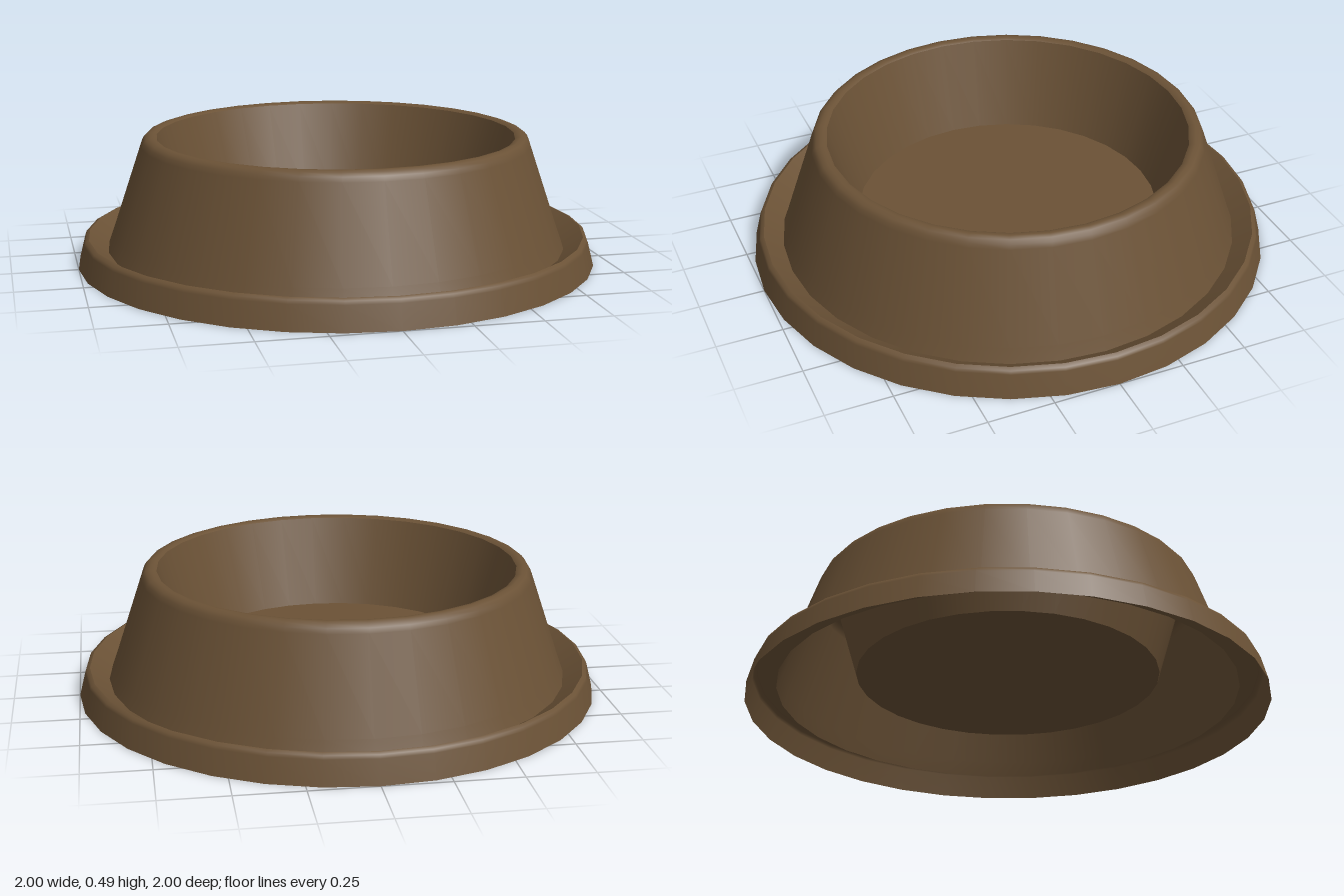
import * as THREE from 'three';

const SIDES = 32;

export function createModel() {
  const bowl = new THREE.Group();
  bowl.name = 'bowl';
  const material = new THREE.MeshStandardMaterial({ color: 0x6b5236, side: THREE.DoubleSide });

  // Each section is smooth in itself; the joins between sections stay sharp.
  const addSection = (name, profile) => {
    const points = profile.map(([r, y]) => new THREE.Vector2(r, y));
    const mesh = new THREE.Mesh(new THREE.LatheGeometry(points, SIDES), material);
    mesh.name = name;
    bowl.add(mesh);
  };

  // Foot: flared skirt with a softened upper edge
  addSection('footSkirt', [[1, 0], [0.977, 0.09], [0.972, 0.103], [0.958, 0.11]]);
  // Ledge sloping down into the groove around the wall
  addSection('footLedge', [[0.958, 0.11], [0.885, 0.06]]);
  // Tapered outer wall rolling over into the rim
  addSection('outerWall', [
    [0.885, 0.06], [0.865, 0.115], [0.75, 0.455], [0.743, 0.473],
    [0.732, 0.486], [0.715, 0.492], [0.7, 0.49], [0.69, 0.484],
  ]);
  // Inside of the bowl
  addSection('innerWall', [[0.69, 0.484], [0.585, 0.135]]);
  addSection('bowlFloor', [[0.585, 0.135], [0, 0.135]]);

  return bowl;
}
